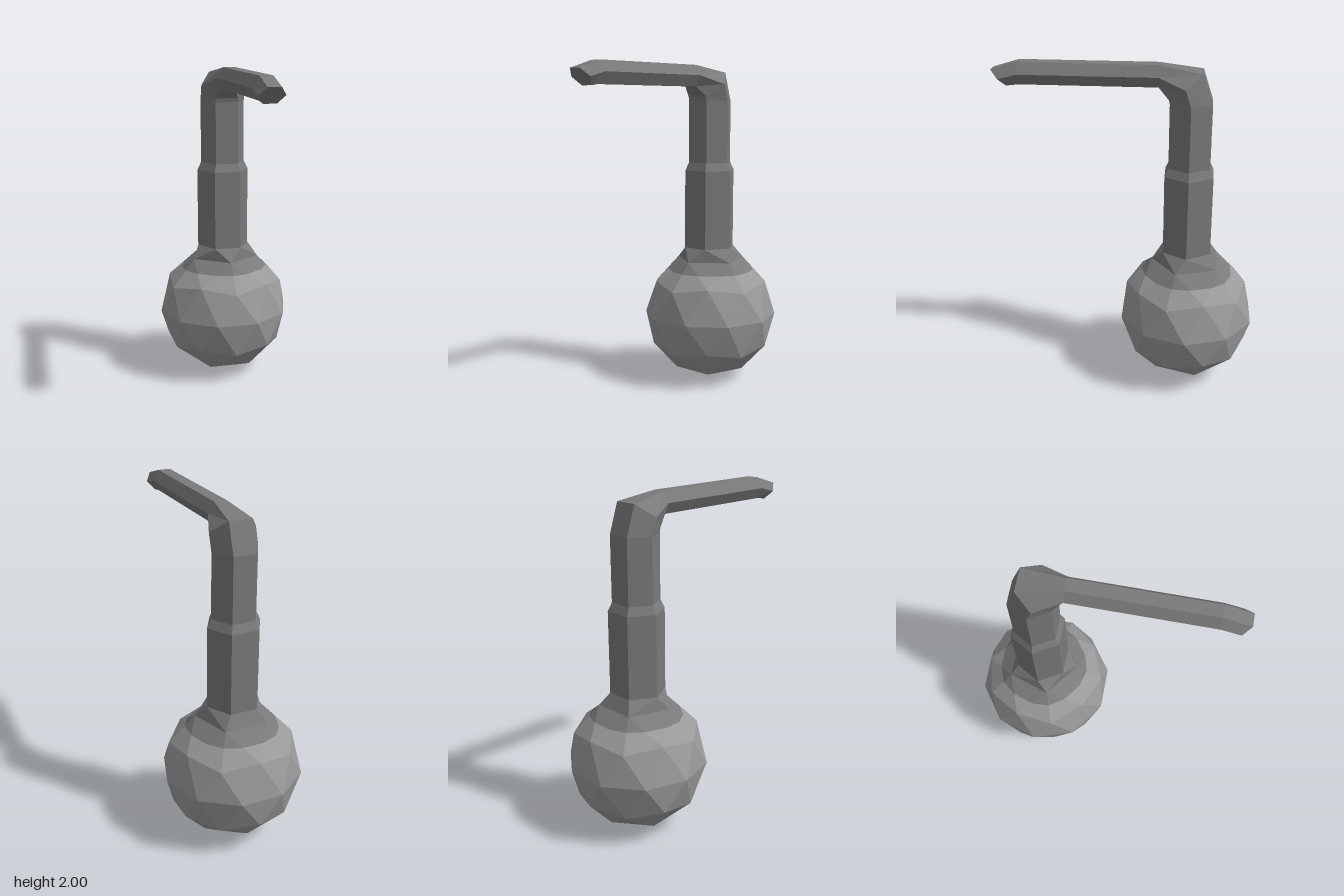
import * as THREE from 'three';

const R = 0.42, GLOBE_Z = -0.375, NECK_Z = -0.367, LEVEL = 0.71;

// Flat-shaded geometry from a list of corner points, three per face
function facets(points) {
  const g = new THREE.BufferGeometry().setFromPoints(points);
  g.computeVertexNormals();
  return g;
}

// Six-sided ring: half width w, with [y, z] of its front, middle and back corners
function ring(w, front, mid, back) {
  return [[1, mid], [0.5, front], [-0.5, front], [-1, mid], [-0.5, back], [0.5, back]]
    .map(([s, [y, z]]) => new THREE.Vector3(s * w - 0.004, y, z));
}

// Level ring for the upright neck
function levelRing(w, y) {
  const d = w * 0.866;
  return ring(w, [y, NECK_Z + d], [y, NECK_Z], [y, NECK_Z - d]);
}

// Skin between successive rings, optionally closing the last one
function loft(rings, cap) {
  const out = [];
  for (let k = 0; k + 1 < rings.length; k++) {
    const a = rings[k], b = rings[k + 1];
    for (let i = 0; i < 6; i++) {
      const j = (i + 1) % 6;
      out.push(a[i], b[i], b[j], a[i], b[j], a[j]);
    }
  }
  if (cap) {
    const e = rings[rings.length - 1];
    for (let i = 1; i < 5; i++) out.push(e[0], e[i + 1], e[i]);
  }
  return facets(out);
}

// Keep the part of a convex polygon above (sign 1) or below (sign -1) the fill level
function clip(poly, sign) {
  const out = [];
  poly.forEach((a, i) => {
    const b = poly[(i + 1) % poly.length];
    const da = sign * (a.y - LEVEL), db = sign * (b.y - LEVEL);
    if (da >= 0) out.push(a);
    if (da * db < 0) out.push(a.clone().lerp(b, da / (da - db)));
  });
  return out;
}

// Faceted globe standing on a corner, open at the top, cut at the fill level
function globePart(sign) {
  const g = new THREE.IcosahedronGeometry(R, 1);
  g.rotateZ(-Math.atan(2 / (1 + Math.sqrt(5))));
  g.rotateY(-Math.PI / 2);
  g.translate(0, R, GLOBE_Z);
  const pos = g.attributes.position, out = [];
  for (let i = 0; i < pos.count; i += 3) {
    const tri = [0, 1, 2].map(k => new THREE.Vector3().fromBufferAttribute(pos, i + k));
    if (tri.some(p => p.y > 2 * R - 0.01)) continue;
    const poly = clip(tri, sign);
    for (let k = 1; k + 1 < poly.length; k++) out.push(poly[0], poly[k], poly[k + 1]);
  }
  return facets(out);
}

// Collar joining the five-sided globe opening to the six-sided neck
function collar(h) {
  const p = [18, 90, 162, 234, 306].map(d => {
    const a = THREE.MathUtils.degToRad(d);
    return new THREE.Vector3(
      0.5257 * R * Math.cos(a), R + 0.8507 * R, GLOBE_Z + 0.5257 * R * Math.sin(a));
  });
  const apex = [0, 1, 2, 3, 3, 4], out = [];
  for (let i = 0; i < 6; i++) {
    const j = (i + 1) % 6;
    out.push(p[apex[i]], h[i], h[j]);
    if (apex[i] !== apex[j]) out.push(p[apex[i]], h[j], p[apex[j]]);
  }
  return facets(out);
}

export function createModel() {
  const model = new THREE.Group();
  model.name = 'bentNeckFlask';

  const glass = new THREE.MeshStandardMaterial({ color: 0x7a7a7a, side: THREE.DoubleSide });
  glass.name = 'dark grey glass';
  const liquid = new THREE.MeshStandardMaterial({ color: 0x9a9a9a, side: THREE.DoubleSide });
  liquid.name = 'light grey filling';

  const add = (name, geometry, material) => {
    const mesh = new THREE.Mesh(geometry, material);
    mesh.name = name;
    model.add(mesh);
  };

  // Globe
  add('filledGlobe', globePart(-1), liquid);
  add('globeShoulder', globePart(1), glass);

  // Upright neck with a step
  const base = levelRing(0.165, 0.857), top = levelRing(0.14, 1.785);
  add('collar', collar(base), glass);
  add('neck', loft([base, levelRing(0.165, 1.35), levelRing(0.14, 1.4), top]), glass);

  // Elbow, spout and slanted tip
  const spoutStart = ring(0.074, [1.872, -0.18], [1.937, -0.18], [2, -0.18]);
  const spoutEnd = ring(0.074, [1.872, 0.62], [1.937, 0.62], [2, 0.62]);
  add('elbow', loft([
    top, ring(0.14, [1.81, -0.24], [1.885, -0.335], [1.96, -0.43]), spoutStart,
  ]), glass);
  add('spout', loft([spoutStart, spoutEnd]), glass);
  add('spoutTip', loft([
    spoutEnd, ring(0.074, [1.863, 0.69], [1.908, 0.73], [1.953, 0.775]),
  ], true), glass);

  return model;
}
